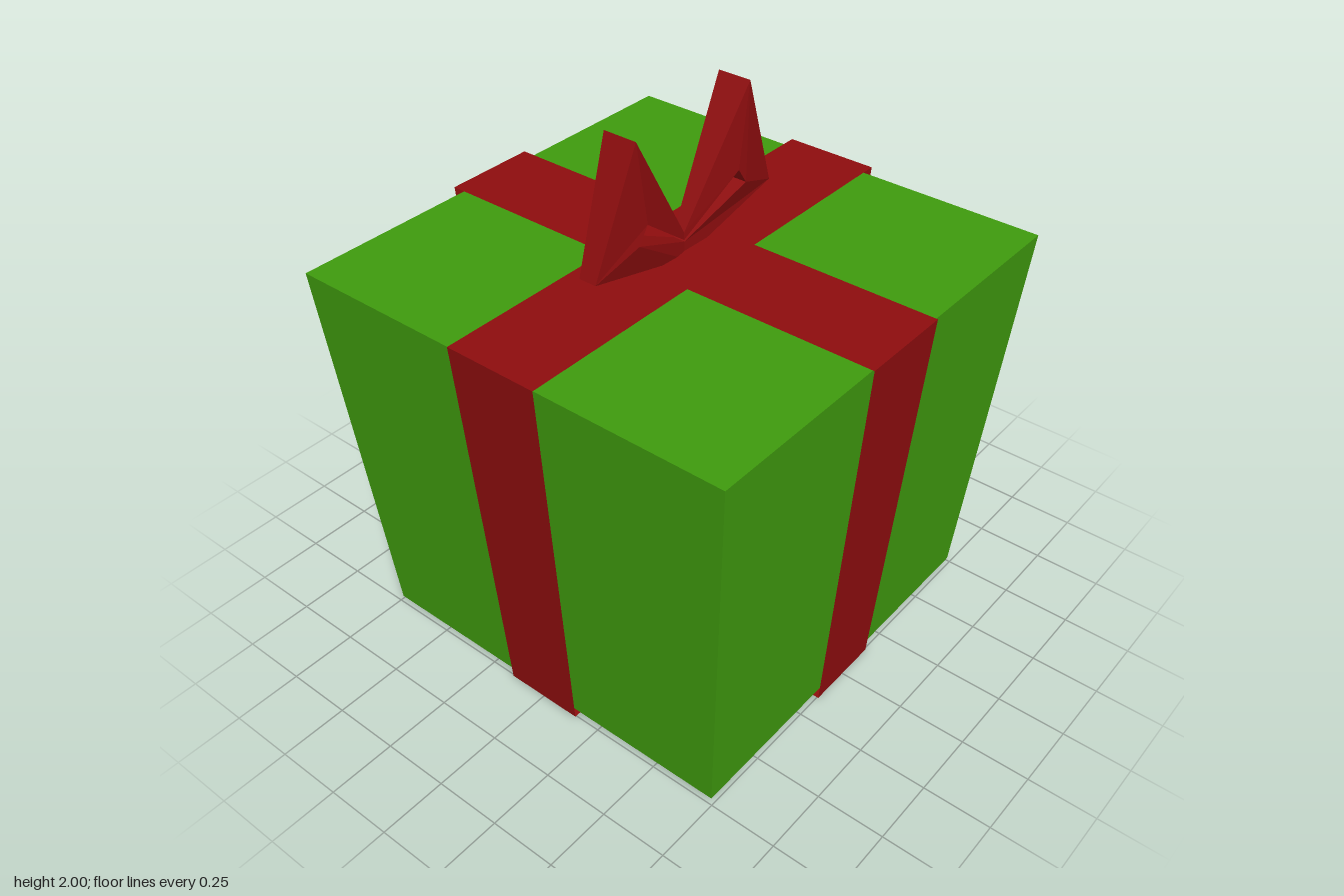
import * as THREE from 'three';

const material = (color) => new THREE.MeshStandardMaterial({ color, flatShading: true, side: THREE.DoubleSide });

// Flat-shaded mesh from four-cornered faces (counter-clockwise seen from outside)
function quadMesh(name, quads, mat) {
  const positions = [];
  for (const [a, b, c, d] of quads) positions.push(...a, ...b, ...c, ...a, ...c, ...d);
  const geometry = new THREE.BufferGeometry();
  geometry.setAttribute('position', new THREE.Float32BufferAttribute(positions, 3));
  geometry.computeVertexNormals();
  const mesh = new THREE.Mesh(geometry, mat);
  mesh.name = name;
  return mesh;
}

// Box widening from bottom to top
function createBox(mat) {
  const geometry = new THREE.BoxGeometry(2, 1.445, 2);
  const p = geometry.attributes.position;
  for (let i = 0; i < p.count; i++) {
    const half = p.getY(i) > 0 ? 0.853 : 0.742;
    p.setX(i, p.getX(i) * half);
    p.setZ(i, p.getZ(i) * half);
  }
  geometry.translate(0, 0.02 + 1.445 / 2, 0);
  geometry.computeVertexNormals();
  const mesh = new THREE.Mesh(geometry, mat);
  mesh.name = 'box';
  return mesh;
}

// Open band wrapped around the box, standing slightly off its faces
function createRibbon(name, mat) {
  // x, y, half width
  const loop = [[-0.755, 0, 0.15], [0.755, 0, 0.15], [0.873, 1.485, 0.175], [-0.873, 1.485, 0.175]];
  const quads = loop.map(([x, y, w], i) => {
    const [x2, y2, w2] = loop[(i + 1) % loop.length];
    return [[x, y, w], [x, y, -w], [x2, y2, -w2], [x2, y2, w2]];
  });
  return quadMesh(name, quads, mat);
}

// One pointed bow loop with a slot through it; side = 1 or -1 mirrors it
function createBowLoop(name, side, mat) {
  // x, y, half depth
  const outer = [[0, 1.553, 0.02], [0.278, 2, 0.063], [0.443, 1.57, 0.033], [0, 1.455, 0.022]];
  const inner = [[0, 1.525, 0.02], [0.23, 1.7, 0.063], [0.27, 1.64, 0.063], [0, 1.52, 0.022]];
  const front = ([x, y, z]) => [side * x, y, z];
  const back = ([x, y, z]) => [side * x, y, -z];
  const quads = [];
  for (let i = 0; i < 3; i++) {
    const [o, o2, n, n2] = [outer[i], outer[i + 1], inner[i], inner[i + 1]];
    quads.push([front(o), front(n), front(n2), front(o2)]);
    quads.push([back(o), back(o2), back(n2), back(n)]);
    quads.push([front(n), back(n), back(n2), front(n2)]);
    // the underside of the bow stays open
    if (i < 2) quads.push([front(o), front(o2), back(o2), back(o)]);
  }
  if (side < 0) quads.forEach((q) => q.reverse());
  return quadMesh(name, quads, mat);
}

export function createModel() {
  const green = material(0x3f9a0e);
  const red = material(0x8e0d0e);
  const model = new THREE.Group();
  model.name = 'giftBox';

  const sideRibbon = createRibbon('sideRibbon', red);
  const frontRibbon = createRibbon('frontRibbon', red);
  frontRibbon.rotation.y = Math.PI / 2;

  const bow = new THREE.Group();
  bow.name = 'bow';
  bow.add(createBowLoop('leftBowLoop', 1, red), createBowLoop('rightBowLoop', -1, red));

  model.add(createBox(green), sideRibbon, frontRibbon, bow);
  return model;
}
